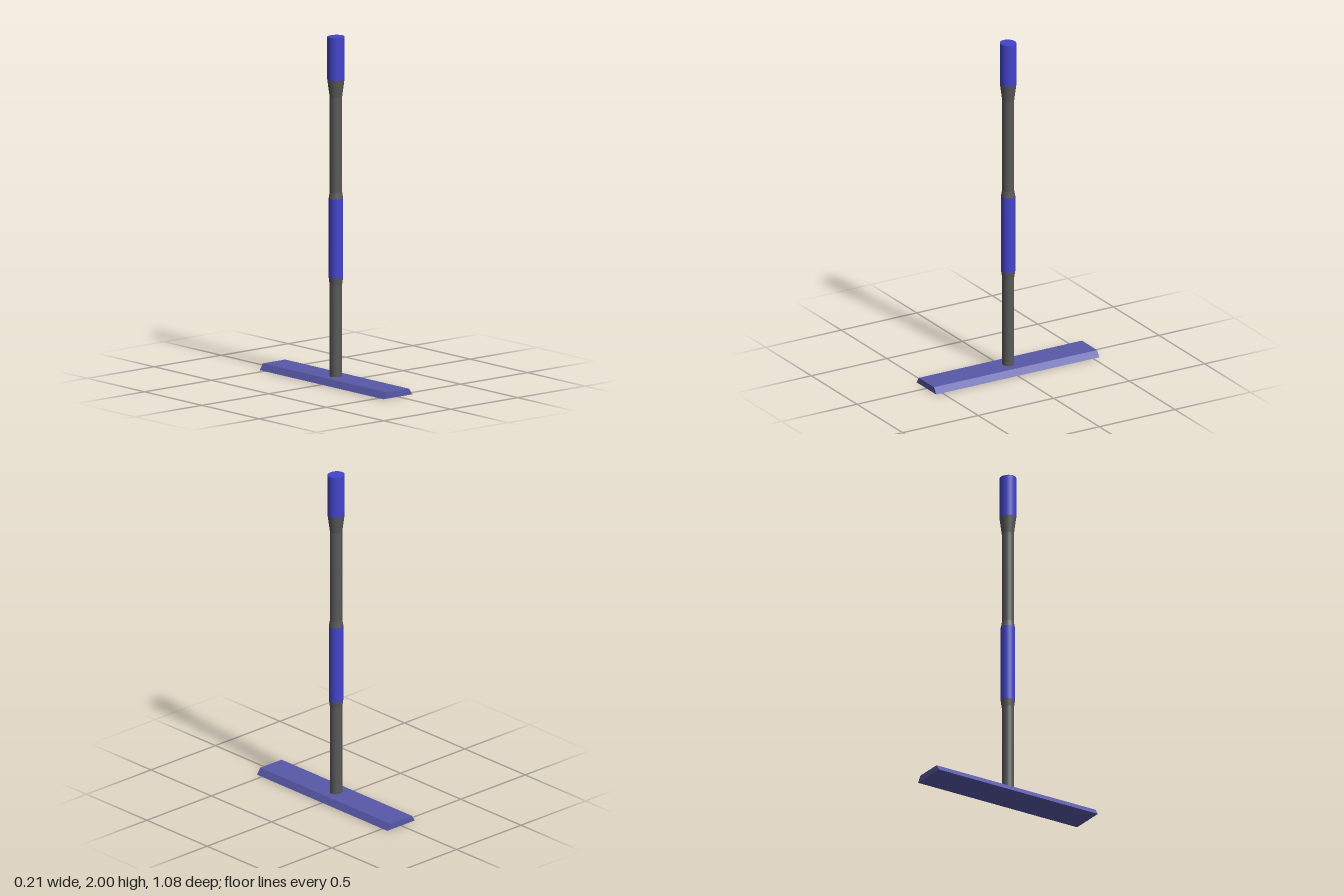
import * as THREE from 'three';

const blue = new THREE.MeshStandardMaterial({ color: 0x4444cc });
const slate = new THREE.MeshStandardMaterial({ color: 0x5858a8 });
const dark = new THREE.MeshStandardMaterial({ color: 0x595959 });

// Slightly oval pole section between two rings [y, radiusX, radiusZ]
function section(name, [y0, x0, z0], [y1, x1, z1], material, open = true) {
  const geo = new THREE.CylinderGeometry(x1, x0, y1 - y0, 40, 1, open);
  const pos = geo.attributes.position;
  for (let i = 0; i < pos.count; i++) {
    pos.setZ(i, pos.getZ(i) * (pos.getY(i) > 0 ? z1 / x1 : z0 / x0));
  }
  const mesh = new THREE.Mesh(geo, material);
  mesh.name = name;
  mesh.position.set(0, (y0 + y1) / 2, -0.001);
  return mesh;
}

export function createModel() {
  const group = new THREE.Group();
  group.name = 'standingPole';

  // Flat base bar with bevelled long sides
  const profile = new THREE.Shape([
    new THREE.Vector2(-0.107, 0), new THREE.Vector2(0.107, 0),
    new THREE.Vector2(0.083, 0.036), new THREE.Vector2(-0.083, 0.036),
  ]);
  const baseGeo = new THREE.ExtrudeGeometry(profile, { depth: 1.08, bevelEnabled: false });
  baseGeo.translate(0, 0, -0.54);
  const base = new THREE.Mesh(baseGeo, slate);
  base.name = 'baseBar';
  group.add(base);

  // Pole: shaft, middle grip, shaft, flare and end grip
  const thin = [0.037, 0.033], mid = [0.042, 0.04], wide = [0.051, 0.046];
  group.add(
    section('lowerShaft', [0.03, ...thin], [0.565, ...thin], dark, false),
    section('lowerCollar', [0.565, ...thin], [0.608, ...mid], dark),
    section('middleGrip', [0.608, ...mid], [1.065, ...mid], blue, false),
    section('upperCollar', [1.065, ...mid], [1.1, ...thin], dark),
    section('upperShaft', [1.1, ...thin], [1.65, ...thin], dark),
    section('flare', [1.65, ...thin], [1.752, ...wide], dark),
    section('endGrip', [1.752, ...wide], [2, ...wide], blue, false),
  );
  return group;
}
